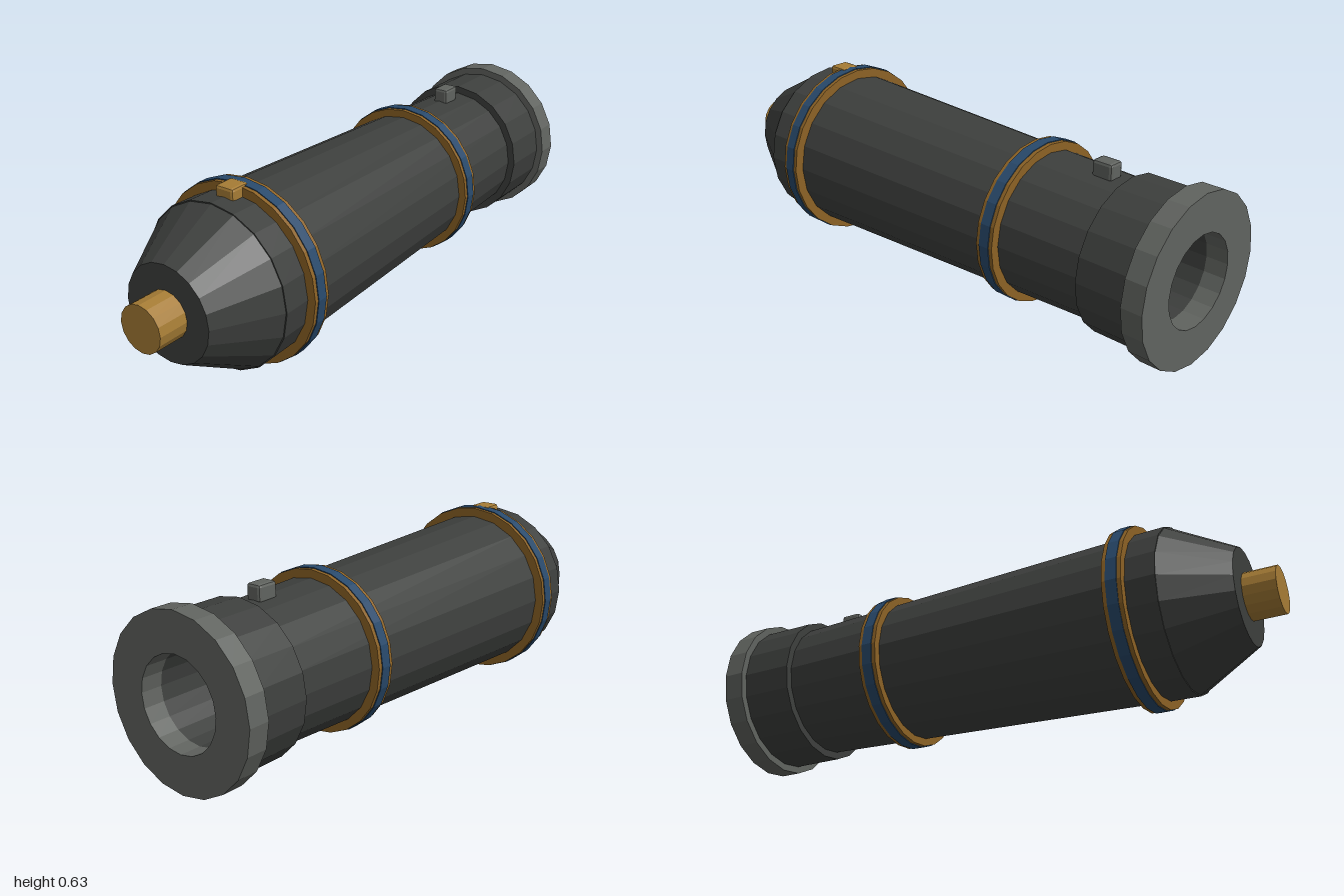
import * as THREE from 'three';
import { RoundedBoxGeometry } from 'three/addons/geometries/RoundedBoxGeometry.js';

const AXIS_Y = 0.315; // height of the barrel's axis

const paint = (color) => new THREE.MeshStandardMaterial({ color, flatShading: true });
const iron = paint(0x3d3f3d);
const steel = paint(0x60635f);
const brass = paint(0xa67c35);
const bronze = paint(0x8c6225);
const blue = paint(0x28496b);

export function createModel() {
  const model = new THREE.Group();
  model.name = 'cannonBarrel';

  // Turned part: profile of [radius, z] running from low to high z on the outside
  function turned(name, profile, sides, material) {
    const geometry = new THREE.LatheGeometry(profile.map(([r, z]) => new THREE.Vector2(r, z)), sides);
    geometry.rotateX(Math.PI / 2);
    const mesh = new THREE.Mesh(geometry, material);
    mesh.name = name;
    mesh.position.y = AXIS_Y;
    model.add(mesh);
  }

  // Chamfered block
  function block(name, size, position, material) {
    const mesh = new THREE.Mesh(new RoundedBoxGeometry(...size, 1, 0.01), material);
    mesh.name = name;
    mesh.position.set(...position);
    model.add(mesh);
  }

  // Barrel with its bore wall, muzzle swell and tapering body
  turned('barrel', [
    [0.155, -0.73], [0.155, -0.925], [0.262, -0.925], [0.262, -0.74],
    [0.236, -0.74], [0.281, 0.55], [0.284, 0.68], [0, 0.68],
  ], 20, iron);

  // Muzzle lip and the floor of the bore
  turned('muzzleLip', [
    [0.155, -0.925], [0.155, -1], [0.287, -1], [0.287, -0.925], [0.155, -0.925],
  ], 20, steel);
  turned('boreFloor', [[0, -0.73], [0.155, -0.73]], 20, brass);

  // Breech cone and end knob
  turned('breech', [[0.28, 0.68], [0.165, 0.89], [0, 0.89]], 20, iron);
  turned('breechKnob', [[0.08, 0.88], [0.08, 1], [0, 1]], 16, brass);

  // Reinforcing bands, each with a blue stripe
  for (const [name, z, inner, outer] of [['rearBand', 0.545, 0.27, 0.311], ['frontBand', -0.385, 0.238, 0.276]]) {
    const ring = (r, half) => [[inner, z - half], [r, z - half], [r, z + half], [inner, z + half]];
    turned(name, ring(outer, 0.033), 24, bronze);
    turned(name + 'Stripe', ring(outer + 0.003, 0.019), 24, blue);
  }

  // Sights on top
  block('rearSight', [0.072, 0.05, 0.075], [0, 0.605, 0.585], brass);
  block('frontSight', [0.056, 0.06, 0.076], [0, 0.573, -0.642], steel);

  return model;
}
